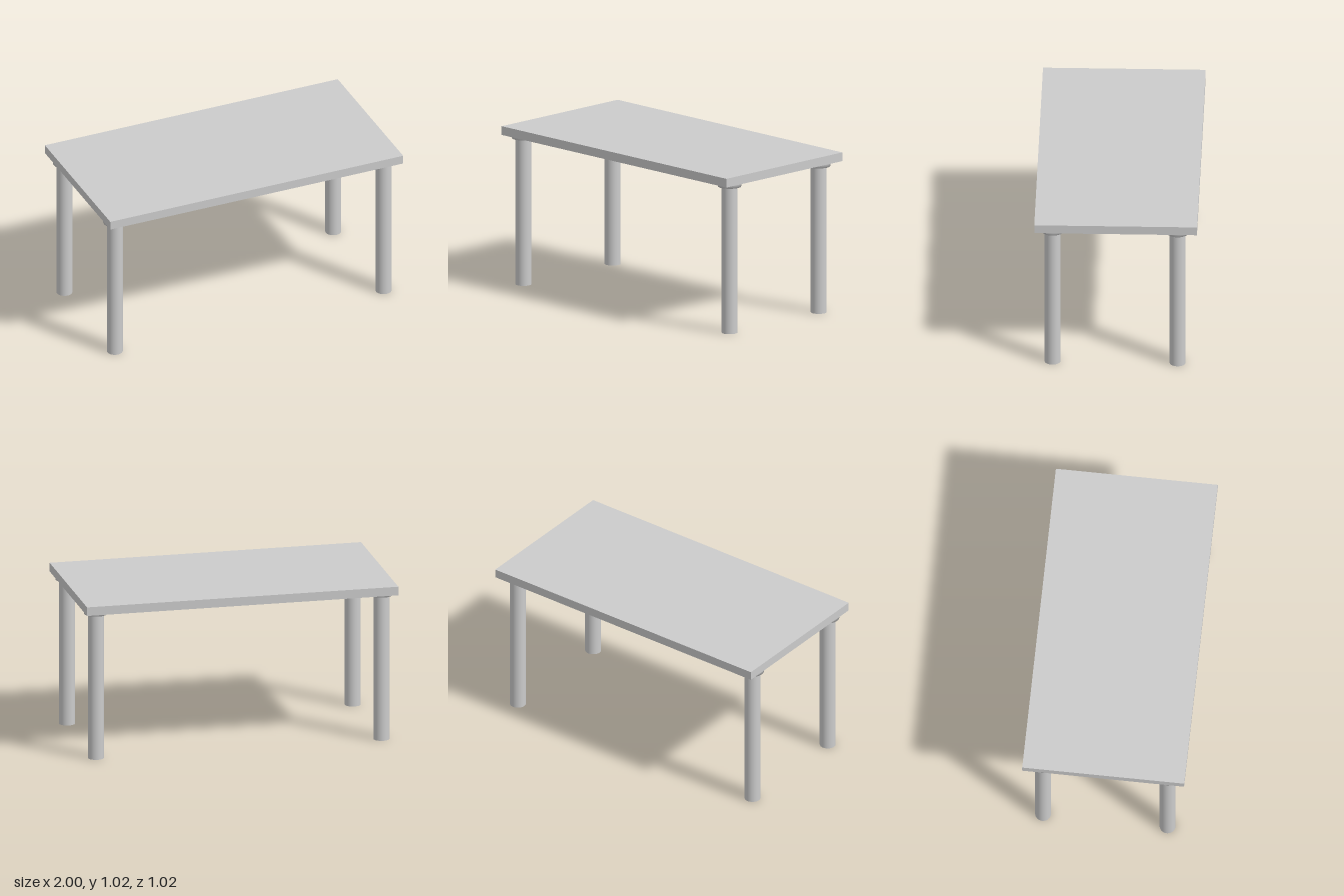
import * as THREE from 'three';

const TOP_Y = 1.02, UNDER_Y = 0.964, FLANGE_Y = 0.94;
const LEG_R = 0.05, FLANGE_R = 0.073;

export function createModel() {
  const table = new THREE.Group();
  table.name = 'table';
  const solid = new THREE.MeshStandardMaterial({ color: 0xcccccc });
  const thin = new THREE.MeshStandardMaterial({ color: 0xcccccc, side: THREE.DoubleSide });

  // Flat slab top
  const top = new THREE.Mesh(new THREE.BoxGeometry(2, TOP_Y - UNDER_Y, 1.018), solid);
  top.name = 'tabletop';
  top.position.y = (TOP_Y + UNDER_Y) / 2;
  table.add(top);

  // Hollow tube leg, open at the foot
  const tube = new THREE.CylinderGeometry(LEG_R, LEG_R, UNDER_Y, 48, 1, true);
  tube.translate(0, UNDER_Y / 2, 0);

  // Mounting flange: softly shaded ring under the top
  const flange = new THREE.LatheGeometry([
    new THREE.Vector2(LEG_R, FLANGE_Y),
    new THREE.Vector2(FLANGE_R, FLANGE_Y),
    new THREE.Vector2(FLANGE_R, UNDER_Y),
  ], 48);

  // Four legs, set very slightly off centre
  for (const [side, x] of [['Right', -0.92], ['Left', 0.915]]) {
    for (const [end, z] of [['front', 0.397], ['back', -0.386]]) {
      const leg = new THREE.Group();
      leg.name = `${end}${side}Leg`;
      const post = new THREE.Mesh(tube, thin);
      post.name = 'legTube';
      const ring = new THREE.Mesh(flange, thin);
      ring.name = 'legFlange';
      leg.add(post, ring);
      leg.position.set(x, 0, z);
      table.add(leg);
    }
  }
  return table;
}
